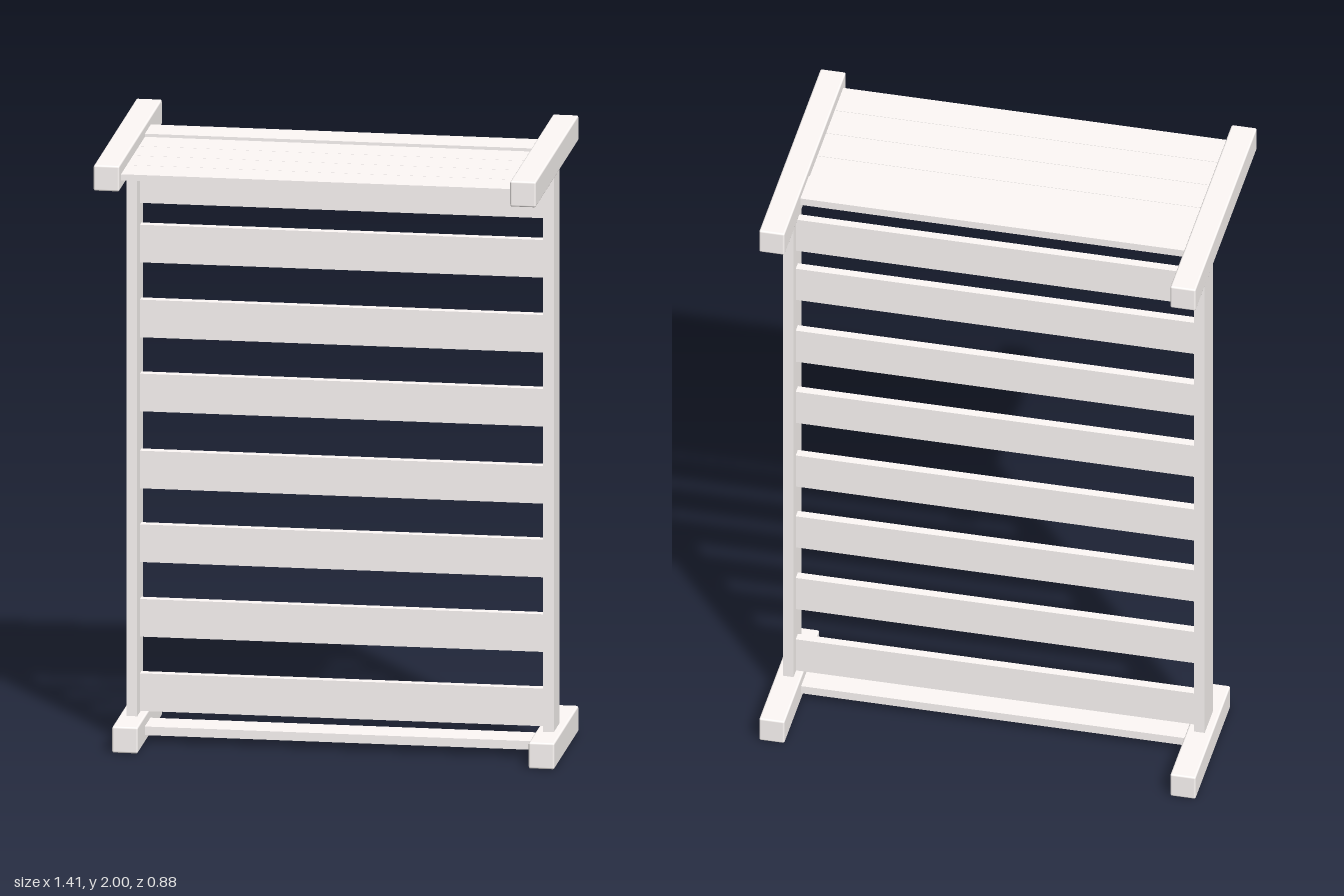
import * as THREE from 'three';
import { RoundedBoxGeometry } from 'three/addons/geometries/RoundedBoxGeometry.js';

const material = new THREE.MeshStandardMaterial({ color: 0xfffaf8 });

// Box given by its [min, max] extents on each axis; radius > 0 softens the edges
function block(name, [x0, x1], [y0, y1], [z0, z1], radius = 0) {
  const size = [x1 - x0, y1 - y0, z1 - z0];
  const geometry = radius
    ? new RoundedBoxGeometry(...size, 2, radius)
    : new THREE.BoxGeometry(...size);
  const mesh = new THREE.Mesh(geometry, material);
  mesh.name = name;
  mesh.position.set((x0 + x1) / 2, (y0 + y1) / 2, (z0 + z1) / 2);
  return mesh;
}

export function createModel() {
  const group = new THREE.Group();
  group.name = 'slattedRack';

  // Side frames: foot, upright board and top arm, mirrored left and right
  for (const [side, s] of [['left', 1], ['right', -1]]) {
    const span = (a, b) => (s > 0 ? [a, b] : [-b, -a]);
    const frame = new THREE.Group();
    frame.name = side + 'Frame';
    frame.add(
      block('foot', span(0.622, 0.704), [0, 0.085], [-0.438, 0.06], 0.006),
      block('upright', span(0.646, 0.68), [0.08, 1.925], [-0.201, -0.085]),
      block('topArm', span(0.622, 0.704), [1.917, 2], [-0.438, 0.438], 0.006)
    );
    group.add(frame);
  }

  // Horizontal slats between the uprights
  const slats = new THREE.Group();
  slats.name = 'backSlats';
  for (const y of [0.15, 0.391, 0.633, 0.872, 1.122, 1.362, 1.605, 1.798]) {
    slats.add(block('backSlat', [-0.65, 0.65], [y - 0.061, y + 0.061], [-0.17, -0.14]));
  }
  group.add(slats);

  // Top shelf: four front boards with fine gaps, and a rear board set slightly higher
  const shelf = new THREE.Group();
  shelf.name = 'topShelf';
  for (let i = 0; i < 4; i++) {
    const front = 0.4 - i * 0.1225;
    shelf.add(block('shelfBoard', [-0.64, 0.64], [1.945, 1.965], [front - 0.121, front]));
  }
  shelf.add(block('rearShelfBoard', [-0.64, 0.64], [1.95, 1.975], [-0.21, -0.088]));
  group.add(shelf);

  // Bottom board joining the feet
  group.add(block('bottomBoard', [-0.64, 0.64], [0.025, 0.053], [-0.2, -0.085]));

  return group;
}
